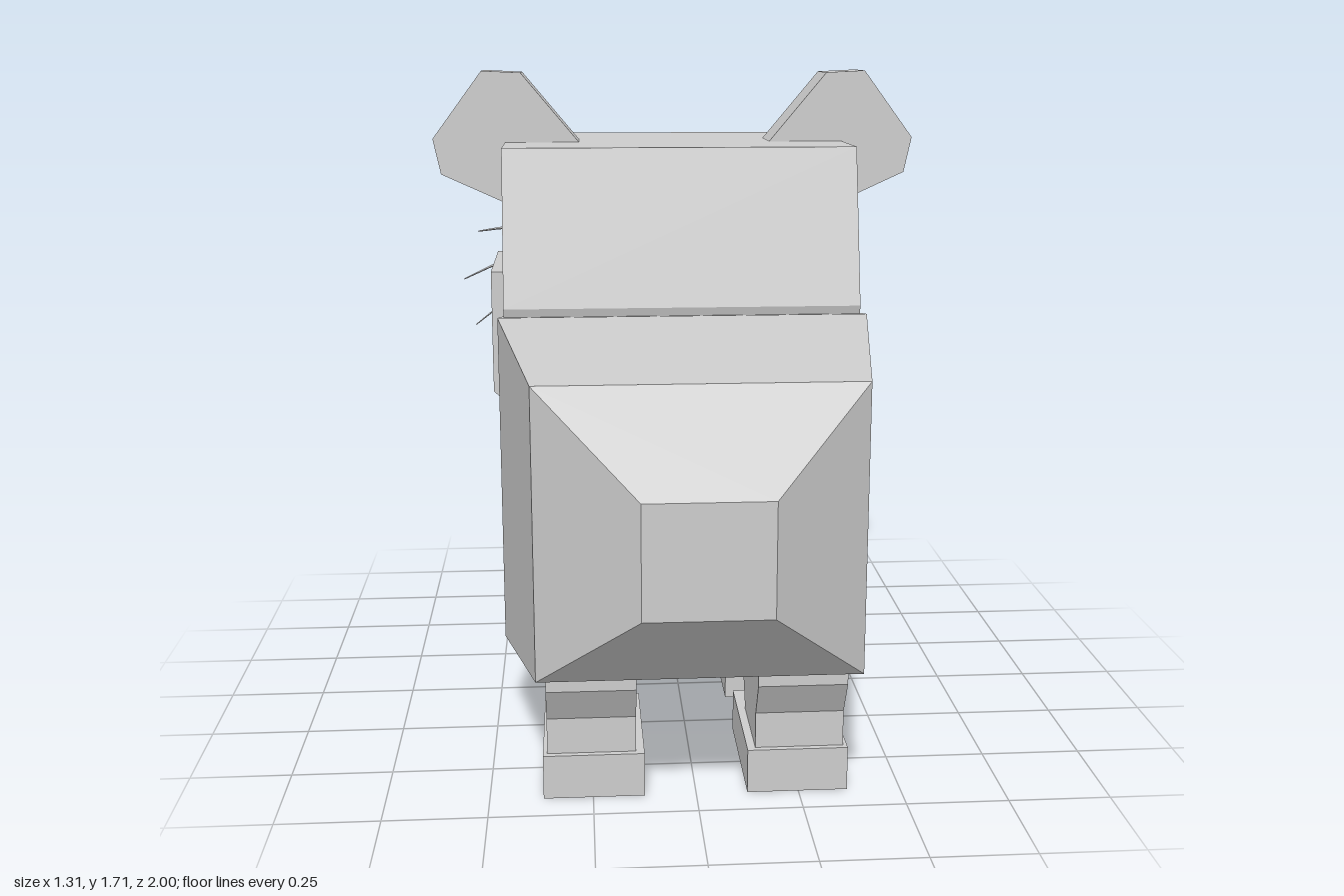
import * as THREE from 'three';

const grey = new THREE.MeshStandardMaterial({ color: 0xcccccc });
grey.name = 'plain grey';
grey.flatShading = true;

function add(parent, name, geometry) {
  const mesh = new THREE.Mesh(geometry, grey);
  mesh.name = name;
  parent.add(mesh);
  return mesh;
}

// Box given by its minimum and maximum corners
function block(x0, x1, y0, y1, z0, z1) {
  return new THREE.BoxGeometry(x1 - x0, y1 - y0, z1 - z0)
    .translate((x0 + x1) / 2, (y0 + y1) / 2, (z0 + z1) / 2);
}

const shapeOf = (pts) => new THREE.Shape(pts.map(([a, b]) => new THREE.Vector2(a, b)));

// Outline in x,y pulled from z0 to z1
function plateXY(shape, z0, z1) {
  return new THREE.ExtrudeGeometry(shape, { depth: z1 - z0, bevelEnabled: false }).translate(0, 0, z0);
}

// Side outline in z,y pulled from x0 to x1
function plateZY(pts, x0, x1) {
  return new THREE.ExtrudeGeometry(shapeOf(pts), { depth: x1 - x0, bevelEnabled: false })
    .rotateY(-Math.PI / 2).translate(x1, 0, 0);
}

// Skin over equal-length rings, closed by a fan at both ends
function loft(rings) {
  const out = [];
  const tri = (...corners) => corners.forEach((p) => out.push(...p));
  const n = rings[0].length;
  const mid = (ring) => [0, 1, 2].map((k) => ring.reduce((s, p) => s + p[k], 0) / n);
  const last = rings[rings.length - 1];
  for (let i = 0; i < n; i++) {
    const j = (i + 1) % n;
    tri(mid(rings[0]), rings[0][i], rings[0][j]);
    tri(mid(last), last[j], last[i]);
    for (let r = 0; r + 1 < rings.length; r++) {
      const a = rings[r], b = rings[r + 1];
      tri(a[i], b[i], b[j]);
      tri(a[i], b[j], a[j]);
    }
  }
  const g = new THREE.BufferGeometry();
  g.setAttribute('position', new THREE.Float32BufferAttribute(out, 3));
  g.computeVertexNormals();
  return g;
}

// Tapering whisker along points in x,y
function whisker(pts) {
  const curve = new THREE.CatmullRomCurve3(pts.map(([x, y]) => new THREE.Vector3(x, y, -0.9)));
  const rings = [];
  for (let i = 0; i <= 6; i++) {
    const p = curve.getPoint(i / 6);
    const w = 0.024 * (1 - i / 6) + 0.002, h = 0.011 * (1 - i / 6) + 0.002;
    rings.push([[p.x, p.y, p.z + w], [p.x, p.y + h, p.z], [p.x, p.y, p.z - w], [p.x, p.y - h, p.z]]);
  }
  return loft(rings);
}

export function createModel() {
  const model = new THREE.Group();
  model.name = 'blockyCat';

  // Body: rectangles from rump to chest as z, half width, bottom, top
  const body = [
    [1, 0.145, 0.575, 0.84], [0.79, 0.38, 0.355, 1.05], [0.21, 0.475, 0.24, 1.1],
    [-0.23, 0.4, 0.33, 1.05], [-0.34, 0.38, 0.47, 1],
  ].map(([z, w, b, t]) => [[w, b, z], [w, t, z], [-w, t, z], [-w, b, z]]);
  add(model, 'body', loft(body));

  // Head and jaw
  add(model, 'head', plateZY([
    [0.2, 1.12], [0.09, 1.52], [-0.6, 1.52], [-0.7, 1.42], [-0.7, 0.73], [0.07, 0.73], [0.11, 0.8],
  ], -0.46, 0.46));
  add(model, 'jaw', plateXY(shapeOf([
    [-0.52, 1.135], [-0.52, 0.78], [-0.41, 0.67], [0.41, 0.67], [0.52, 0.78], [0.52, 1.135],
  ]), -0.83, -0.365));

  // Muzzle: flared, with a notch between two lobes
  const muzzleRing = (t, top, zt, b, bot, zb, zc) => [
    [b, bot, zb], [t, top, zt], [0, top + 0.01, zt - 0.01], [-t, top, zt],
    [-b, bot, zb], [-0.08, bot - 0.01, zc], [0, bot + 0.06, zc], [0.08, bot - 0.01, zc],
  ];
  add(model, 'muzzle', loft([
    muzzleRing(0.23, 1.28, -0.71, 0.27, 0.865, -0.8, -0.8),
    muzzleRing(0.185, 1.25, -0.94, 0.235, 0.885, -0.98, -0.995),
  ]));
  add(model, 'nose', block(-0.08, 0.08, 1.12, 1.275, -0.997, -0.84));

  // Ear outlines
  const earOuter = [
    [0.26, 1.52], [0.32, 1.38], [0.46, 1.355], [0.635, 1.435], [0.655, 1.53], [0.52, 1.71], [0.415, 1.705],
  ];
  const earInner = [
    [0.33, 1.51], [0.36, 1.43], [0.46, 1.41], [0.59, 1.47], [0.6, 1.52], [0.5, 1.655], [0.435, 1.65],
  ];

  // Paired parts
  for (const side of [1, -1]) {
    const half = new THREE.Group();
    half.name = side > 0 ? 'leftSide' : 'rightSide';
    half.scale.x = side;
    model.add(half);

    add(half, 'earBack', plateXY(shapeOf(earOuter), -0.25, -0.145));
    const rim = shapeOf(earOuter);
    rim.holes.push(new THREE.Path(earInner.map(([x, y]) => new THREE.Vector2(x, y))));
    add(half, 'earRim', plateXY(rim, -0.3, -0.25));

    add(half, 'eyeSocket', block(0.13, 0.41, 1.2, 1.49, -0.715, -0.635));
    add(half, 'eye', block(0.18, 0.36, 1.245, 1.45, -0.735, -0.7));

    add(half, 'upperWhisker', whisker([[0.19, 1.13], [0.33, 1.2], [0.46, 1.205], [0.585, 1.19]]));
    add(half, 'middleWhisker', whisker([[0.19, 1.06], [0.33, 1.125], [0.46, 1.11], [0.635, 1.035]]));
    add(half, 'lowerWhisker', whisker([[0.2, 0.96], [0.34, 1.005], [0.46, 0.985], [0.6, 0.885]]));

    add(half, 'hindLeg', plateZY([
      [0.65, 0.1], [0.65, 0.2], [0.7, 0.29], [0.7, 0.4], [0.3, 0.4], [0.3, 0.31], [0.43, 0.1],
    ], 0.145, 0.36));
    add(half, 'hindFoot', block(0.125, 0.37, 0, 0.11, 0.31, 0.665));
    add(half, 'frontLeg', plateZY([
      [0.06, 0.1], [0.06, 0.2], [0.13, 0.28], [0.13, 0.36], [-0.22, 0.36], [-0.22, 0.235], [-0.17, 0.1],
    ], 0.145, 0.36));
    add(half, 'frontFoot', block(0.125, 0.37, 0, 0.11, -0.25, 0.105));
  }
  return model;
}
